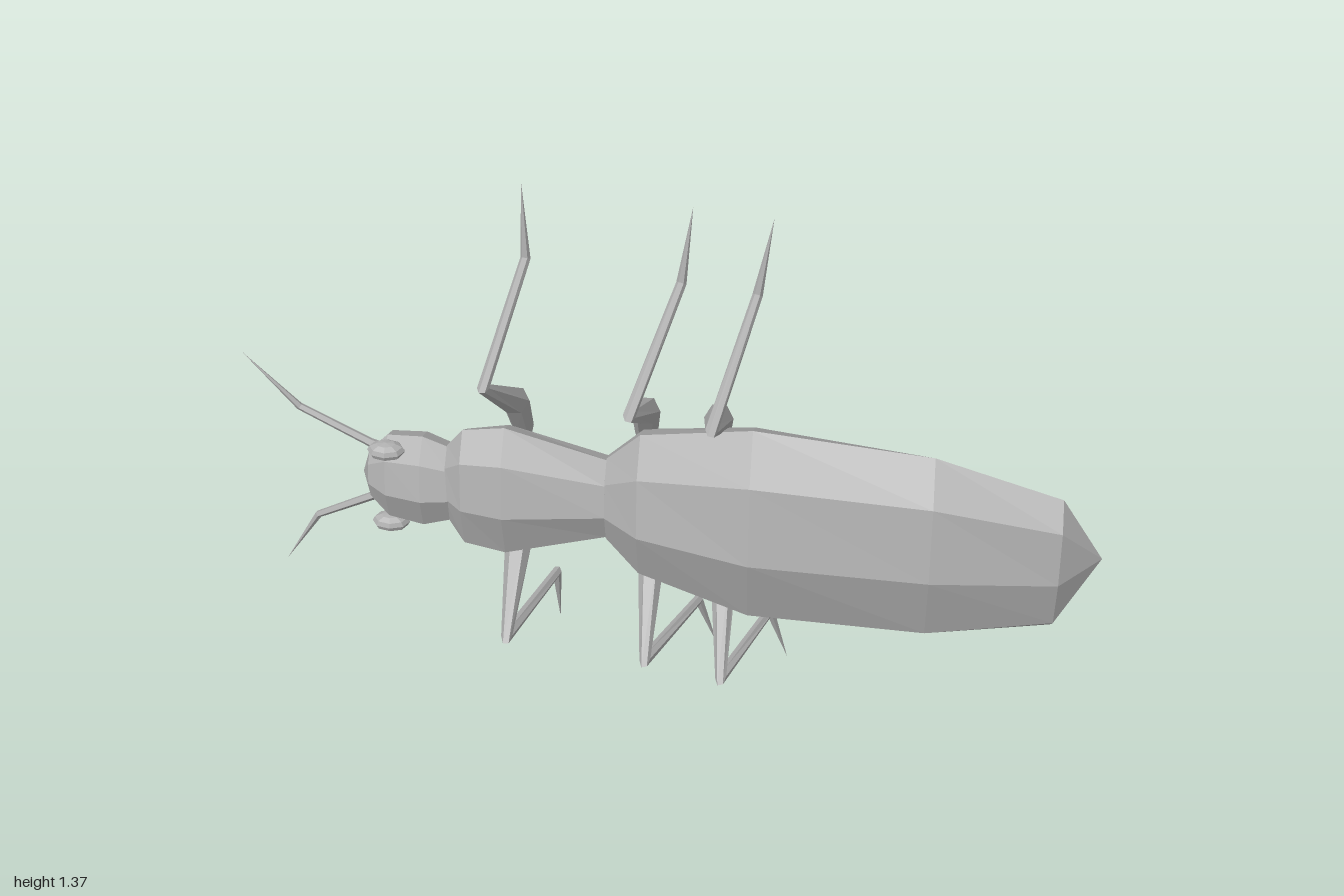
import * as THREE from 'three';

const shell = new THREE.MeshStandardMaterial({ color: 0xb0b0b0, flatShading: true });
shell.name = 'grey shell';

// Skins a list of equal-sized vertex rings into a faceted surface
function loft(rings) {
  const pos = [];
  const n = rings[0].length;
  for (let k = 0; k < rings.length - 1; k++) {
    const a = rings[k], b = rings[k + 1];
    for (let i = 0; i < n; i++) {
      const j = (i + 1) % n;
      for (const p of [a[i], a[j], b[j], a[i], b[j], b[i]]) pos.push(p.x, p.y, p.z);
    }
  }
  const g = new THREE.BufferGeometry();
  g.setAttribute('position', new THREE.Float32BufferAttribute(pos, 3));
  g.computeVertexNormals();
  return g;
}

function part(name, geometry) {
  const m = new THREE.Mesh(geometry, shell);
  m.name = name;
  return m;
}

// Body section: rows of [x, bottom y, top y, belly z, back z], slightly leaning
function bodySection(name, rows) {
  const rings = rows.map(([x, y0, y1, z0, z1]) => {
    const ring = [];
    for (let i = 0; i < 8; i++) {
      const a = (i * Math.PI) / 4;
      const dy = Math.cos(a) * (y1 - y0) / 2;
      ring.push(new THREE.Vector3(x, (y0 + y1) / 2 + dy,
        (z0 + z1) / 2 + Math.sin(a) * (z1 - z0) / 2 + dy * 0.06));
    }
    return ring;
  });
  return part(name, loft(rings));
}

// Jointed limb: rows of [x, y, z, radius], mitred at each joint
function limb(name, rows, ref, sides = 6) {
  const pts = rows.map((r) => new THREE.Vector3(r[0], r[1], r[2]));
  const rings = pts.map((p, k) => {
    const before = pts[k].clone().sub(pts[Math.max(k - 1, 0)]).normalize();
    const after = pts[Math.min(k + 1, pts.length - 1)].clone().sub(p).normalize();
    const t = before.clone().add(after).normalize();
    const cos = Math.max(t.dot(before), t.dot(after));
    const miter = Math.min(1 / Math.max(cos, 0.1), 1.9);
    const u = ref.clone().addScaledVector(t, -ref.dot(t)).normalize();
    const v = t.clone().cross(u);
    return Array.from({ length: sides }, (_, i) => {
      const a = (i / sides) * Math.PI * 2;
      return p.clone()
        .addScaledVector(u, Math.cos(a) * rows[k][3])
        .addScaledVector(v, Math.sin(a) * rows[k][3] * miter);
    });
  });
  return part(name, loft(rings));
}

export function createModel() {
  const model = new THREE.Group();
  model.name = 'insect';

  // Head, thorax and abdomen
  model.add(bodySection('head', [
    [-0.73, 0.67, 0.67, -0.04, -0.04],
    [-0.71, 0.605, 0.74, -0.085, 0.015],
    [-0.665, 0.55, 0.785, -0.128, 0.05],
    [-0.58, 0.54, 0.795, -0.122, 0.072],
    [-0.51, 0.57, 0.775, -0.09, 0.07],
    [-0.48, 0.67, 0.67, -0.01, -0.01],
  ]));
  model.add(bodySection('thorax', [
    [-0.52, 0.67, 0.67, -0.01, -0.01],
    [-0.52, 0.57, 0.785, -0.08, 0.065],
    [-0.48, 0.5, 0.84, -0.1, 0.1],
    [-0.38, 0.49, 0.86, -0.108, 0.13],
    [-0.14, 0.58, 0.8, -0.045, 0.125],
    [-0.1, 0.69, 0.69, 0.04, 0.04],
  ]));
  model.add(bodySection('abdomen', [
    [-0.15, 0.69, 0.69, 0.04, 0.04],
    [-0.14, 0.575, 0.805, -0.045, 0.125],
    [-0.06, 0.49, 0.89, -0.09, 0.195],
    [0.2, 0.412, 0.957, -0.065, 0.27],
    [0.61, 0.43, 0.957, 0.035, 0.31],
    [0.9, 0.497, 0.877, 0.12, 0.285],
    [1.0, 0.705, 0.705, 0.2, 0.2],
  ]));

  // Eyes on both flanks of the head
  for (const [name, y] of [['leftEye', 0.772], ['rightEye', 0.563]]) {
    const eye = part(name, new THREE.SphereGeometry(1, 8, 6));
    eye.scale.set(0.045, 0.022, 0.032);
    eye.position.set(-0.662, y, 0.012);
    model.add(eye);
  }

  // Antennae
  const zAxis = new THREE.Vector3(0, 0, 1);
  model.add(limb('upperAntenna', [
    [-0.67, 0.735, -0.045, 0.011], [-0.71, 0.75, -0.045, 0.011],
    [-0.875, 0.835, -0.06, 0.009], [-1.0, 0.98, -0.065, 0],
  ], zAxis, 5));
  model.add(limb('lowerAntenna', [
    [-0.67, 0.61, -0.045, 0.011], [-0.71, 0.59, -0.05, 0.011],
    [-0.86, 0.495, -0.085, 0.009], [-0.955, 0.33, -0.113, 0],
  ], zAxis, 5));

  // Legs: x and z at hip, femur bend, knee, ankle and tip
  const upper = {
    y: [0.71, 0.78, 0.895, 1.055, 1.195, 1.39],
    legs: [
      { x: [-0.35, -0.355, -0.36, -0.405, -0.345, -0.35], z: [-0.105, -0.105, -0.04, 0.14, -0.185, -0.195] },
      { x: [-0.06, -0.06, -0.055, -0.07, 0.02, 0.045], z: [-0.1, -0.095, -0.025, 0.22, -0.11, -0.125] },
      { x: [0.11, 0.11, 0.115, 0.115, 0.195, 0.228], z: [-0.085, -0.085, -0.01, 0.26, -0.075, -0.09] },
    ],
  };
  const lower = {
    y: [0.69, 0.575, 0.465, 0.288, 0.205, 0.02],
    legs: [
      { x: [-0.35, -0.36, -0.37, -0.385, -0.305, -0.305], z: [-0.105, -0.112, -0.08, 0.09, -0.265, -0.31] },
      { x: [-0.06, -0.055, -0.045, -0.045, 0.06, 0.105], z: [-0.1, -0.1, -0.06, 0.15, -0.185, -0.235] },
      { x: [0.11, 0.115, 0.13, 0.14, 0.24, 0.285], z: [-0.085, -0.09, -0.04, 0.2, -0.155, -0.2] },
    ],
  };
  const radii = [0.008, 0.027, 0.034, 0.014, 0.012, 0];
  const xAxis = new THREE.Vector3(1, 0, 0);
  for (const [side, set] of [['left', upper], ['right', lower]]) {
    set.legs.forEach((leg, i) => {
      const rows = set.y.map((y, k) => [leg.x[k], y, leg.z[k], radii[k]]);
      model.add(limb(side + ['Front', 'Middle', 'Hind'][i] + 'Leg', rows, xAxis));
    });
  }
  return model;
}
